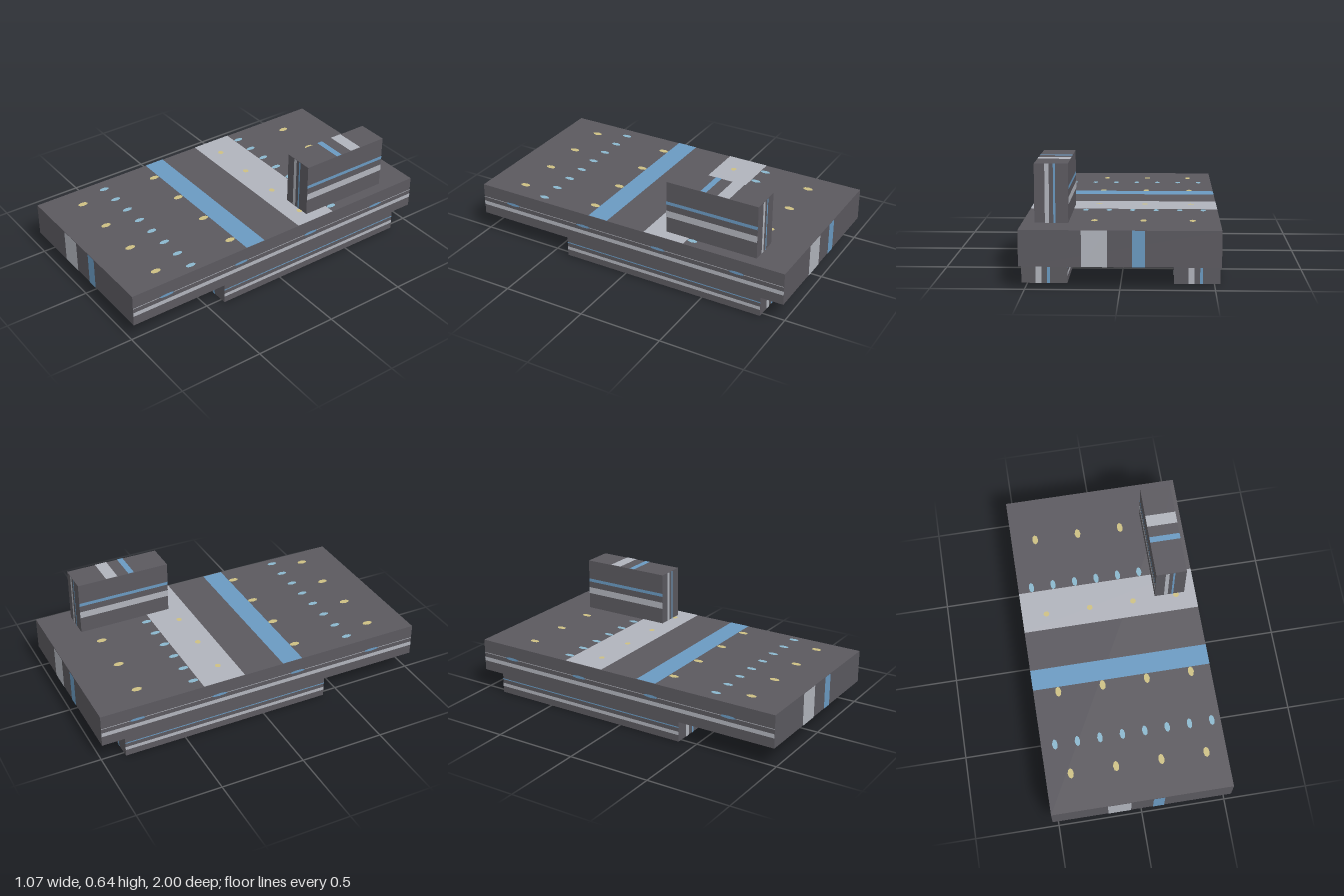
import * as THREE from 'three';

const mat = (name, color) => {
  const m = new THREE.MeshStandardMaterial({ color });
  m.name = name;
  return m;
};

export function createModel() {
  const dark = mat('dark grey', 0x5b595f);
  const pale = mat('pale grey', 0xb1b4bc);
  const blue = mat('blue', 0x6a9ac2);
  const sky = mat('light blue', 0x8ab7cd);
  const sand = mat('sand yellow', 0xcdc083);

  const add = (parent, name, geo, material, x = 0, y = 0, z = 0) => {
    const mesh = new THREE.Mesh(geo, material);
    mesh.name = name;
    mesh.position.set(x, y, z);
    parent.add(mesh);
    return mesh;
  };

  // Painted rectangle and oval on a face, in the face's own u, v
  const rect = (face, name, m, u0, u1, v0, v1) =>
    add(face, name, new THREE.PlaneGeometry(u1 - u0, v1 - v0), m, (u0 + u1) / 2, (v0 + v1) / 2, 0.002);
  const oval = (face, name, m, u, v, ru, rv, lift = 0.001) =>
    add(face, name, new THREE.CircleGeometry(1, 8), m, u, v, lift).scale.set(ru, rv, 1);

  // Stripe limits as fractions of a face's half size
  const PALE = [-0.38, -0.125], BLUE = [0.12, 0.245];

  // Box with stripes on all sides; returns its faces for further paint
  function block(name, [x0, x1], [y0, y1], [z0, z1], sidePale = PALE, sideBlue = BLUE) {
    const group = new THREE.Group();
    group.name = name;
    group.position.set((x0 + x1) / 2, (y0 + y1) / 2, (z0 + z1) / 2);
    const hx = (x1 - x0) / 2, hy = (y1 - y0) / 2, hz = (z1 - z0) / 2;
    add(group, name + 'Box', new THREE.BoxGeometry(2 * hx, 2 * hy, 2 * hz), dark);

    const face = (label, rx, ry, x, y, z) => {
      const f = new THREE.Group();
      f.name = label;
      f.rotation.set(rx, ry, 0);
      f.position.set(x, y, z);
      group.add(f);
      return f;
    };
    const q = Math.PI / 2;
    const ends = [face('frontFace', 0, 0, 0, 0, hz), face('backFace', 0, 2 * q, 0, 0, -hz)];
    const sides = [face('leftFace', 0, q, hx, 0, 0), face('rightFace', 0, -q, -hx, 0, 0)];
    const flats = [face('topFace', -q, 0, 0, hy, 0), face('bottomFace', q, 0, 0, -hy, 0)];

    for (const f of ends) {
      rect(f, 'paleStripe', pale, PALE[0] * hx, PALE[1] * hx, -hy, hy);
      rect(f, 'blueStripe', blue, BLUE[0] * hx, BLUE[1] * hx, -hy, hy);
    }
    for (const f of sides) {
      rect(f, 'paleStripe', pale, -hz, hz, sidePale[0] * hy, sidePale[1] * hy);
      if (sideBlue) rect(f, 'blueStripe', blue, -hz, hz, sideBlue[0] * hy, sideBlue[1] * hy);
    }
    for (const f of flats) {
      rect(f, 'paleStripe', pale, -hx, hx, -PALE[1] * hz, -PALE[0] * hz);
      rect(f, 'blueStripe', blue, -hx, hx, -BLUE[1] * hz, -BLUE[0] * hz);
    }
    return { group, sides, flats };
  }

  const model = new THREE.Group();
  model.name = 'stripedPlatform';

  // Main slab
  const slab = block('slab', [-0.532, 0.532], [0.12, 0.315], [-1, 1], PALE, null);
  model.add(slab.group);
  for (const f of slab.flats) {
    // Rows of yellow and light blue dots
    for (const v of [0.725, 0.225, -0.275, -0.775])
      for (let i = 0; i < 4; i++) {
        const onStripe = v === 0.225;
        oval(f, 'yellowDot', sand, -0.385 + i * 0.266, v, 0.018, onStripe ? 0.017 : 0.031, onStripe ? 0.003 : 0.001);
      }
    for (const v of [0.41, -0.59])
      for (let i = 0; i < 8; i++) oval(f, 'lightBlueDot', sky, -0.451 + i * 0.133, v, 0.016, 0.031);
  }
  for (const f of slab.sides) {
    // Fine line with flat blue spots
    rect(f, 'fineLine', pale, -1, 1, 0.014, 0.018);
    for (let i = 0; i < 4; i++) oval(f, 'blueSpot', blue, -0.785 + i * 0.5, 0.016, 0.05, 0.009, 0.003);
  }

  // Two runners underneath
  for (const [name, x] of [['leftRunner', [0.285, 0.532]], ['rightRunner', [-0.532, -0.285]]])
    model.add(block(name, x, [0, 0.12], [-0.865, 0.4], [-0.32, 0.03], [0.42, 0.53]).group);

  // Upright block on the rear left
  model.add(block('tower', [0.283, 0.465], [0.315, 0.635], [-0.8, -0.235]).group);

  return model;
}
